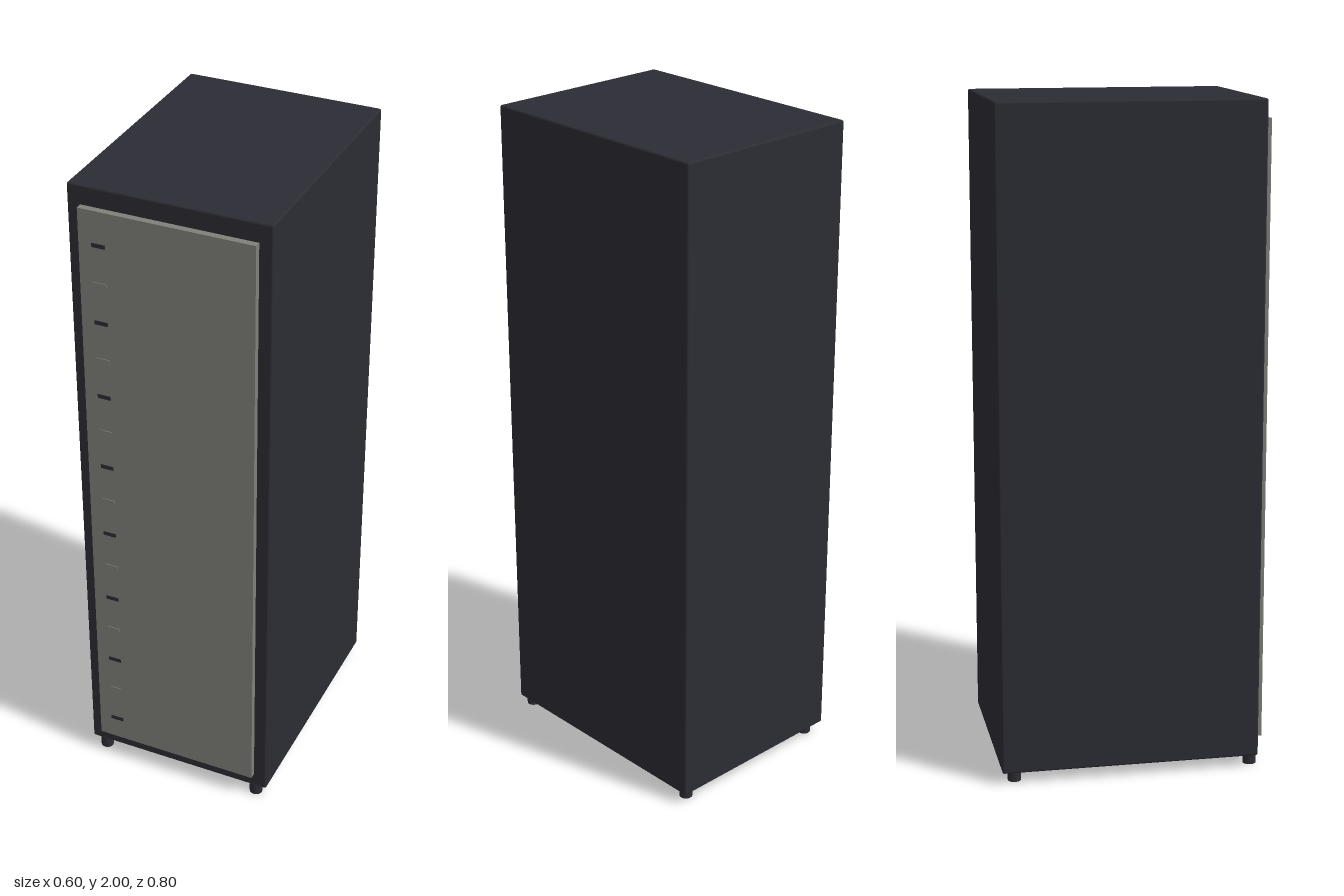
import * as THREE from 'three';
import { RoundedBoxGeometry } from 'three/addons/geometries/RoundedBoxGeometry.js';

export function createModel() {
  const group = new THREE.Group();
  const material = (name, color) => {
    const m = new THREE.MeshStandardMaterial({ color });
    m.name = name;
    return m;
  };
  const charcoal = material('charcoal', 0x2c2c34);
  const grey = material('warm grey', 0x80807a);

  const add = (name, geometry, mat, x, y, z) => {
    const mesh = new THREE.Mesh(geometry, mat);
    mesh.name = name;
    mesh.position.set(x, y, z);
    group.add(mesh);
  };

  // Cabinet body with slightly softened edges
  add('cabinetBody', new RoundedBoxGeometry(0.6, 1.965, 0.778, 2, 0.006), charcoal, 0, 1.0175, -0.011);

  // Raised front door
  add('frontDoor', new THREE.BoxGeometry(0.52, 1.86, 0.022), grey, 0, 1.0125, 0.387);

  // Small markers up the door edge, alternating dark and grey
  const marker = new THREE.BoxGeometry(0.04, 0.012, 0.004);
  for (let i = 0; i < 15; i++) {
    add('unitMarker', marker, i % 2 ? grey : charcoal, -0.2, 0.16 + i * 0.12, 0.398);
  }

  // Four short round feet
  const foot = new THREE.CylinderGeometry(0.02, 0.02, 0.04, 16);
  for (const x of [-0.26, 0.26]) {
    for (const z of [-0.36, 0.36]) add('foot', foot, charcoal, x, 0.02, z);
  }
  return group;
}
